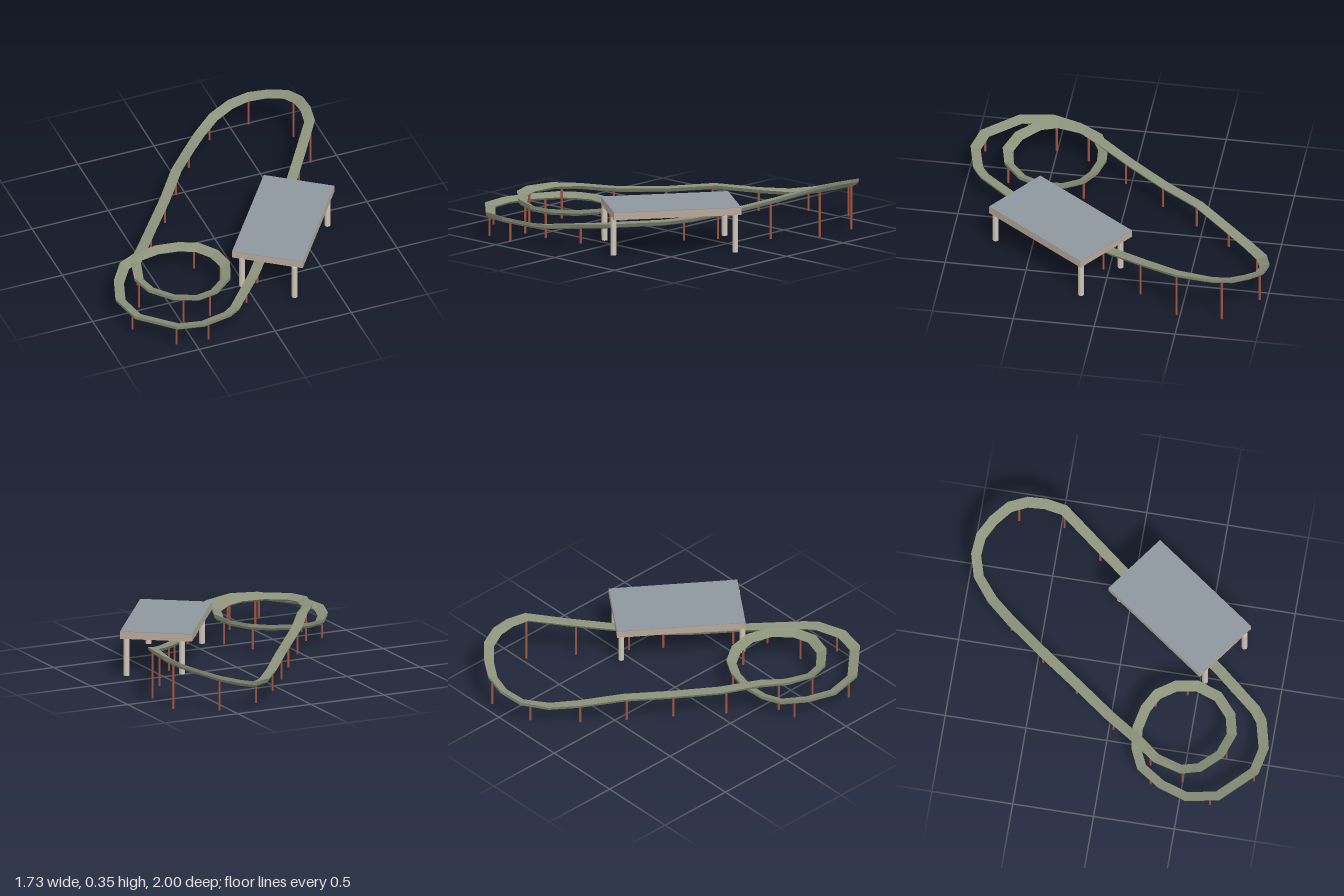
import * as THREE from 'three';

const mat = (color, flat = false) => new THREE.MeshStandardMaterial({ color, flatShading: flat });

// Track centre line: x, y (running surface), z
const PATH = [
  [0.51, 0.21, -0.05], [0.35, 0.165, 0.16], [0.24, 0.15, 0.3], [0.02, 0.148, 0.6], [-0.21, 0.152, 0.87],
  [-0.28, 0.16, 0.92], [-0.455, 0.17, 0.963], [-0.61, 0.168, 0.93], [-0.8, 0.16, 0.735], [-0.835, 0.155, 0.545],
  [-0.78, 0.155, 0.38], [-0.69, 0.158, 0.245], [-0.58, 0.163, 0.195], [-0.45, 0.17, 0.182], [-0.32, 0.176, 0.21],
  [-0.22, 0.182, 0.265], [-0.15, 0.188, 0.37], [-0.13, 0.193, 0.5], [-0.18, 0.2, 0.635], [-0.29, 0.205, 0.73],
  [-0.41, 0.212, 0.758], [-0.55, 0.22, 0.71], [-0.66, 0.23, 0.6], [-0.692, 0.235, 0.49], [-0.65, 0.24, 0.33],
  [-0.55, 0.235, 0.2], [-0.41, 0.205, 0], [-0.23, 0.195, -0.24], [-0.06, 0.2, -0.48], [0.11, 0.165, -0.69],
  [0.235, 0.15, -0.83], [0.365, 0.165, -0.935], [0.49, 0.2, -0.972], [0.6, 0.235, -0.96], [0.7, 0.272, -0.9],
  [0.79, 0.305, -0.815], [0.832, 0.325, -0.71], [0.835, 0.335, -0.6], [0.815, 0.33, -0.48], [0.66, 0.265, -0.26],
].map((p) => new THREE.Vector3(...p));

// Positions (x, z) of the thin supports
const SUPPORTS = [
  [-0.815, 0.69], [-0.62, 0.93], [-0.42, 0.955], [-0.695, 0.5], [-0.5, 0.74], [-0.325, 0.74], [-0.24, 0.26],
  [-0.135, 0.44], [-0.07, 0.7], [0.065, 0.54], [0.325, 0.2], [0.45, 0.03], [0.645, -0.23], [0.82, -0.48],
  [0.82, -0.76], [0.605, -0.96], [0.325, -0.9], [0.105, -0.69], [-0.07, -0.465], [-0.235, -0.23], [-0.43, 0.03],
  [-0.62, 0.29], [-0.74, 0.31],
];

// Closed ribbon with a rounded underside, banked outwards in the bends
function trackGeometry() {
  const n = PATH.length, up = new THREE.Vector3(0, 1, 0);
  const section = [[0.033, 0], [-0.033, 0], [-0.022, -0.02], [0, -0.03], [0.022, -0.02]];
  const m = section.length, pos = [], index = [];
  const at = (i) => PATH[(i + n) % n];
  const dir = (a, b) => b.clone().sub(a).setY(0).normalize();
  for (let i = 0; i < n; i++) {
    const inDir = dir(at(i - 1), at(i)), outDir = dir(at(i), at(i + 1));
    const side = inDir.clone().add(outDir).normalize().cross(up);
    const d1 = dir(at(i - 2), at(i)), d2 = dir(at(i), at(i + 2));
    const length = (at(i - 2).distanceTo(at(i)) + at(i).distanceTo(at(i + 2))) / 2;
    const bend = d1.cross(d2).y / length;
    const bank = THREE.MathUtils.clamp(bend * 0.15, -0.42, 0.42);
    const miter = 1 / Math.sqrt((1 + inDir.dot(outDir)) / 2);
    for (const [s, u] of section) {
      const across = s * Math.cos(bank) * miter - u * Math.sin(bank);
      const height = s * Math.sin(bank) + u * Math.cos(bank);
      const p = at(i).clone().addScaledVector(side, across).addScaledVector(up, height);
      pos.push(p.x, p.y, p.z);
    }
    for (let j = 0; j < m; j++) {
      const a = i * m + j, b = i * m + (j + 1) % m;
      const c = ((i + 1) % n) * m + j, d = ((i + 1) % n) * m + (j + 1) % m;
      index.push(a, c, b, b, c, d);
    }
  }
  const geo = new THREE.BufferGeometry();
  geo.setAttribute('position', new THREE.Float32BufferAttribute(pos, 3));
  geo.setIndex(index);
  geo.computeVertexNormals();
  return geo;
}

// Height of the track at the point nearest to (x, z)
function trackHeight(x, z) {
  let best = Infinity, y = 0;
  const target = new THREE.Vector3(x, 0, z), close = new THREE.Vector3();
  PATH.forEach((a, i) => {
    const b = PATH[(i + 1) % PATH.length];
    const line = new THREE.Line3(a.clone().setY(0), b.clone().setY(0));
    const t = line.closestPointToPointParameter(target, true);
    const dist = line.at(t, close).distanceTo(target);
    if (dist < best) { best = dist; y = THREE.MathUtils.lerp(a.y, b.y, t); }
  });
  return y;
}

export function createModel() {
  const model = new THREE.Group();
  const add = (parent, name, geometry, material, x = 0, y = 0, z = 0) => {
    const mesh = new THREE.Mesh(geometry, material);
    mesh.name = name;
    mesh.position.set(x, y, z);
    parent.add(mesh);
    return mesh;
  };
  const post = (parent, name, r, sides, material, x, z, y0, y1) =>
    add(parent, name, new THREE.CylinderGeometry(r, r, y1 - y0, sides), material, x, (y0 + y1) / 2, z);

  add(model, 'track', trackGeometry(), mat(0x8c927a, true));

  // Thin posts under the track
  const supports = new THREE.Group();
  supports.name = 'trackSupports';
  model.add(supports);
  const red = mat(0xa0553f);
  for (const [x, z] of SUPPORTS) {
    post(supports, 'trackSupport', 0.007, 8, red, x, z, x > 0.6 && z > -0.9 ? 0.013 : 0.026, trackHeight(x, z) - 0.018);
  }

  // Station platform: slab with a grey deck on four round legs
  const station = new THREE.Group();
  station.name = 'station';
  model.add(station);
  const angle = -Math.atan2(0.26, 0.36);
  add(station, 'platformSlab', new THREE.BoxGeometry(0.444, 0.045, 0.79), mat(0xb9a999), 0.325, 0.26, 0.315).rotation.y = angle;
  add(station, 'platformDeck', new THREE.BoxGeometry(0.444, 0.003, 0.79), mat(0x8f979f), 0.325, 0.284, 0.315).rotation.y = angle;
  const stone = mat(0xcfc5b6);
  for (const [x, z, y0] of [[-0.03, 0.53, 0.025], [0.235, 0.73, 0.008], [0.41, -0.07, 0.025], [0.69, 0.13, 0]]) {
    post(station, 'platformLeg', 0.018, 16, stone, x, z, y0, 0.24);
  }
  return model;
}
